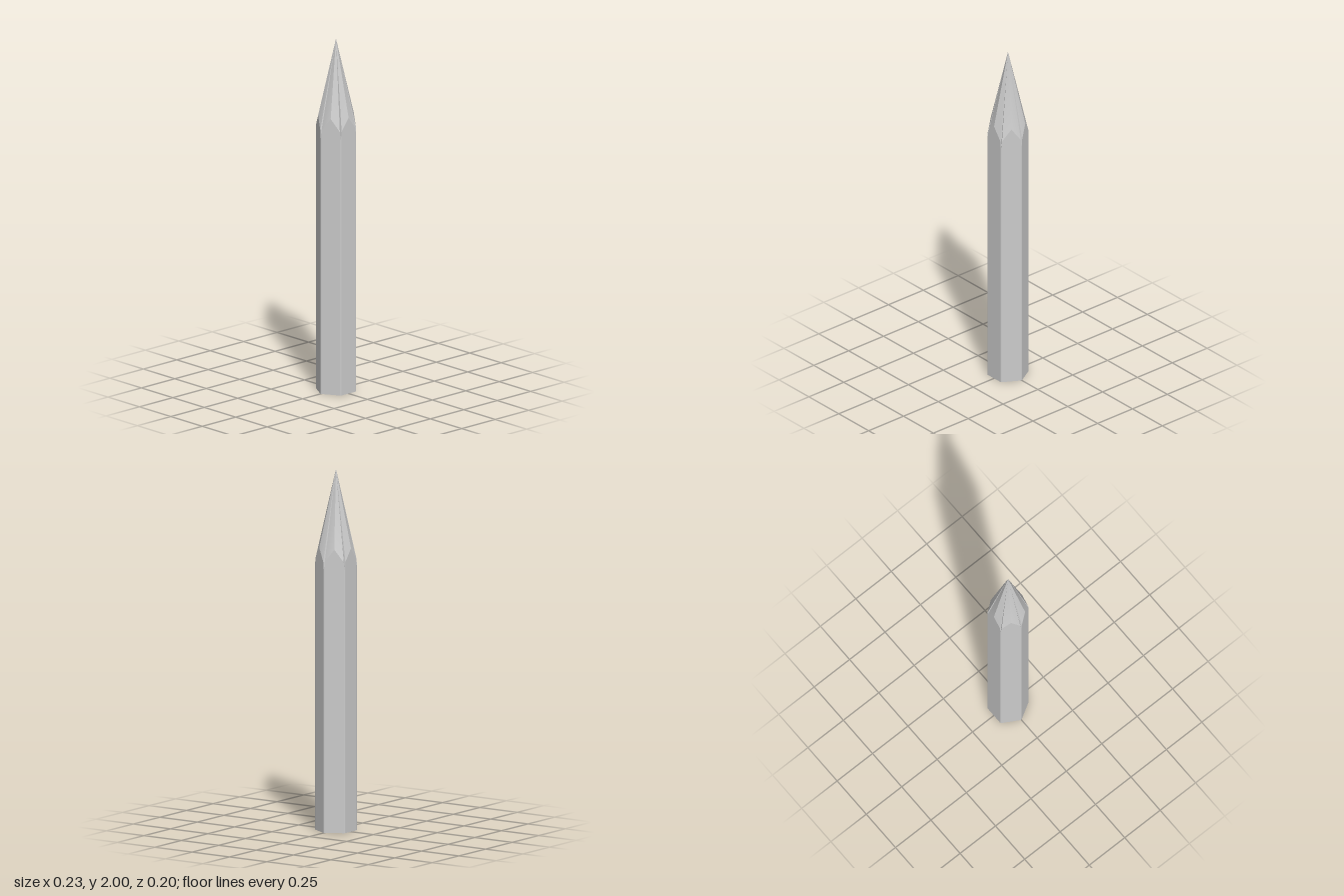
import * as THREE from 'three';
import { toCreasedNormals } from 'three/addons/utils/BufferGeometryUtils.js';

const APOTHEM = 0.1;
const FILLET = 0.01;
const TIP = new THREE.Vector3(0, 2, 0);

const dir = (degrees) => {
  const a = THREE.MathUtils.degToRad(degrees);
  return new THREE.Vector3(Math.cos(a), 0, -Math.sin(a));
};

// Hexagon outline with filleted corners; each point carries its outward
// normal and the height of the scalloped edge where shaft meets tip
function makeOutline() {
  const outline = [];
  const edgeHeights = [1.5, 1.475, 1.455, 1.475, 1.5];
  const filletCentre = (APOTHEM - FILLET) / Math.cos(Math.PI / 6);
  for (let k = 0; k < 6; k++) {
    edgeHeights.forEach((height, j) => {
      const normal = dir(k * 60 - 30 + j * 15);
      const pos = dir(k * 60).multiplyScalar(filletCentre).addScaledVector(normal, FILLET);
      outline.push({ pos, normal, height });
    });
    const normal = dir(k * 60 + 30);
    outline.push({ pos: normal.clone().multiplyScalar(APOTHEM), normal, height: 1.57 });
  }
  return outline;
}

function toGeometry(points, normals) {
  const geometry = new THREE.BufferGeometry().setFromPoints(points);
  if (normals) {
    geometry.setAttribute('normal', new THREE.Float32BufferAttribute(normals.flatMap((n) => n.toArray()), 3));
  } else {
    geometry.computeVertexNormals();
  }
  return geometry;
}

export function createModel() {
  const group = new THREE.Group();
  group.name = 'pencil';
  const material = new THREE.MeshStandardMaterial({ color: 0xcccccc });

  const outline = makeOutline();
  const shaft = [], shaftNormals = [], tip = [], cap = [];
  outline.forEach((p, i) => {
    const q = outline[(i + 1) % outline.length];
    const pTop = p.pos.clone().setY(p.height);
    const qTop = q.pos.clone().setY(q.height);
    shaft.push(p.pos, q.pos, qTop, p.pos, qTop, pTop);
    shaftNormals.push(p.normal, q.normal, q.normal, p.normal, q.normal, p.normal);
    tip.push(pTop, qTop, TIP);
    cap.push(new THREE.Vector3(), q.pos, p.pos);
  });

  const add = (name, geometry) => {
    const mesh = new THREE.Mesh(geometry, material);
    mesh.name = name;
    group.add(mesh);
  };
  // Hexagonal shaft with softly rounded corners
  add('shaft', toGeometry(shaft, shaftNormals));
  // Sharpened point: six sectors creased along the middle of each shaft face
  add('sharpenedTip', toCreasedNormals(toGeometry(tip), 0.45));
  // Flat bottom end
  add('endCap', toGeometry(cap));
  return group;
}
